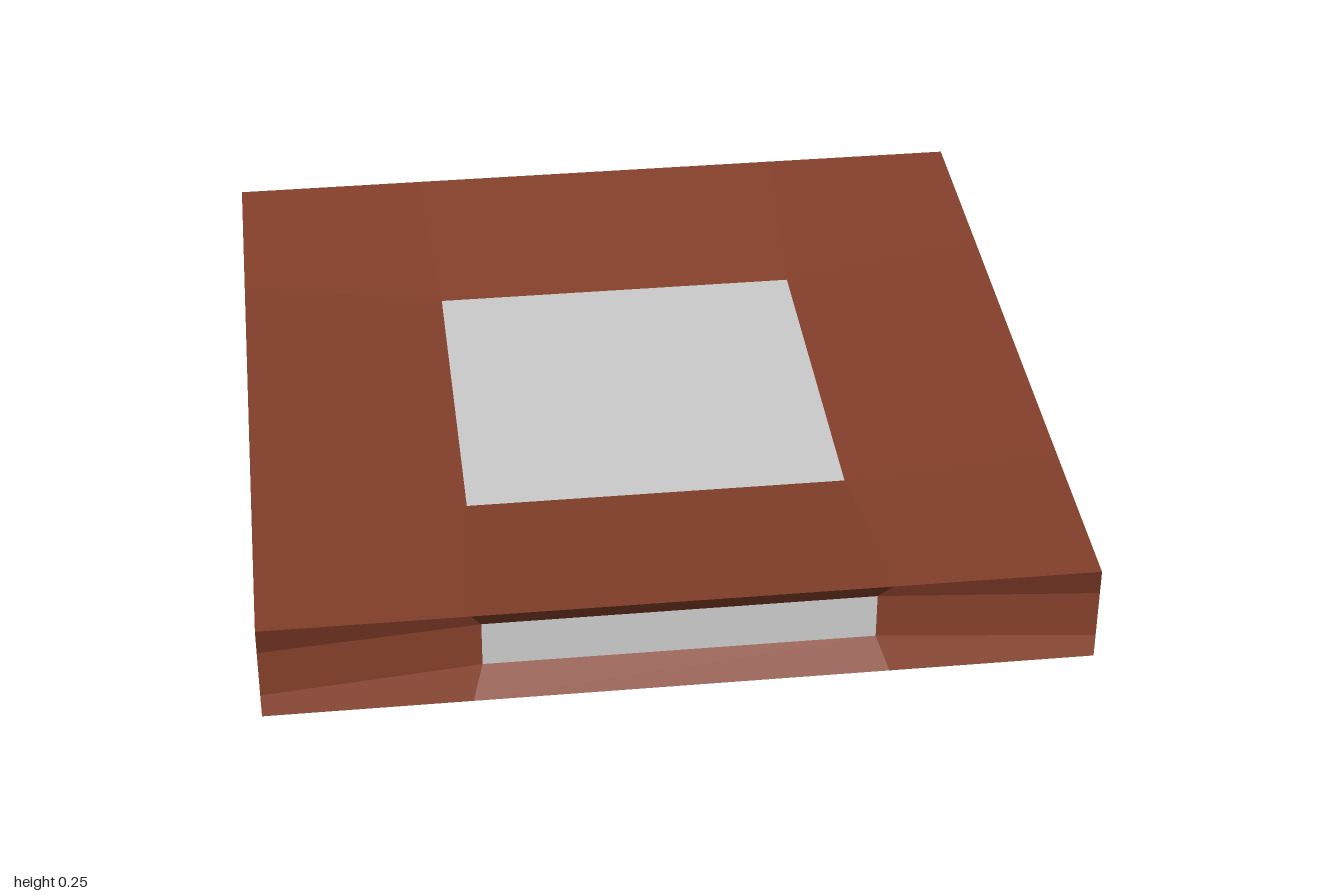
import * as THREE from 'three';

const HALF = new THREE.Vector3(1, 0.127, 1); // half extents of the slab
const INNER = 0.473;                         // panel half size, as a share of the face
const DEPTH = 0.947;                         // sunken distance of the side panels
const SUNK_Y = 0.06;                         // sunken half height of top and bottom panels

// Corner point (i, j = 0..3) of the 3x3 grid on one face
function gridPoint(axis, sign, i, j) {
  const u = (axis + 1) % 3, v = (axis + 2) % 3;
  const inside = (i === 1 || i === 2) && (j === 1 || j === 2);
  const steps = inside ? [-1, -INNER, INNER, 1] : [-1, -0.5, 0.5, 1];
  const p = new THREE.Vector3();
  p.setComponent(u, steps[i] * HALF.getComponent(u));
  p.setComponent(v, steps[j] * HALF.getComponent(v));
  const sunk = axis === 1 ? SUNK_Y : DEPTH;
  p.setComponent(axis, sign * (inside ? sunk : HALF.getComponent(axis)));
  p.y += HALF.y;
  return p;
}

// Geometry of the chosen grid cells, each cell with one flat normal
function cellGeometry(axis, sign, wanted) {
  const pos = [], nor = [];
  for (let i = 0; i < 3; i++) {
    for (let j = 0; j < 3; j++) {
      if (!wanted(i, j)) continue;
      let q = [[i, j], [i + 1, j], [i + 1, j + 1], [i, j + 1]];
      // start at the outermost corner so the fold runs towards the panel
      if (i !== 1 && j !== 1 && (i === 0) !== (j === 0)) q = [...q.slice(1), q[0]];
      if (sign < 0) q = [q[0], q[3], q[2], q[1]];
      const p = q.map(([a, b]) => gridPoint(axis, sign, a, b));
      const n = p[2].clone().sub(p[0]).cross(p[3].clone().sub(p[1])).normalize();
      for (const k of [0, 1, 2, 0, 2, 3]) {
        pos.push(...p[k].toArray());
        nor.push(...n.toArray());
      }
    }
  }
  const g = new THREE.BufferGeometry();
  g.setAttribute('position', new THREE.Float32BufferAttribute(pos, 3));
  g.setAttribute('normal', new THREE.Float32BufferAttribute(nor, 3));
  return g;
}

export function createModel() {
  const model = new THREE.Group();
  model.name = 'panelledSlab';
  const brown = new THREE.MeshStandardMaterial({ color: 0x85402b });
  const grey = new THREE.MeshStandardMaterial({ color: 0xcccccc });
  const names = [['left', 'right'], ['top', 'bottom'], ['front', 'back']];

  for (let axis = 0; axis < 3; axis++) {
    [1, -1].forEach((sign, s) => {
      const side = names[axis][s];
      // sloping frame around the opening
      const frame = new THREE.Mesh(cellGeometry(axis, sign, (i, j) => i !== 1 || j !== 1), brown);
      frame.name = side + 'Frame';
      // sunken panel in the middle
      const panel = new THREE.Mesh(cellGeometry(axis, sign, (i, j) => i === 1 && j === 1), grey);
      panel.name = side + 'Panel';
      model.add(frame, panel);
    });
  }
  return model;
}
